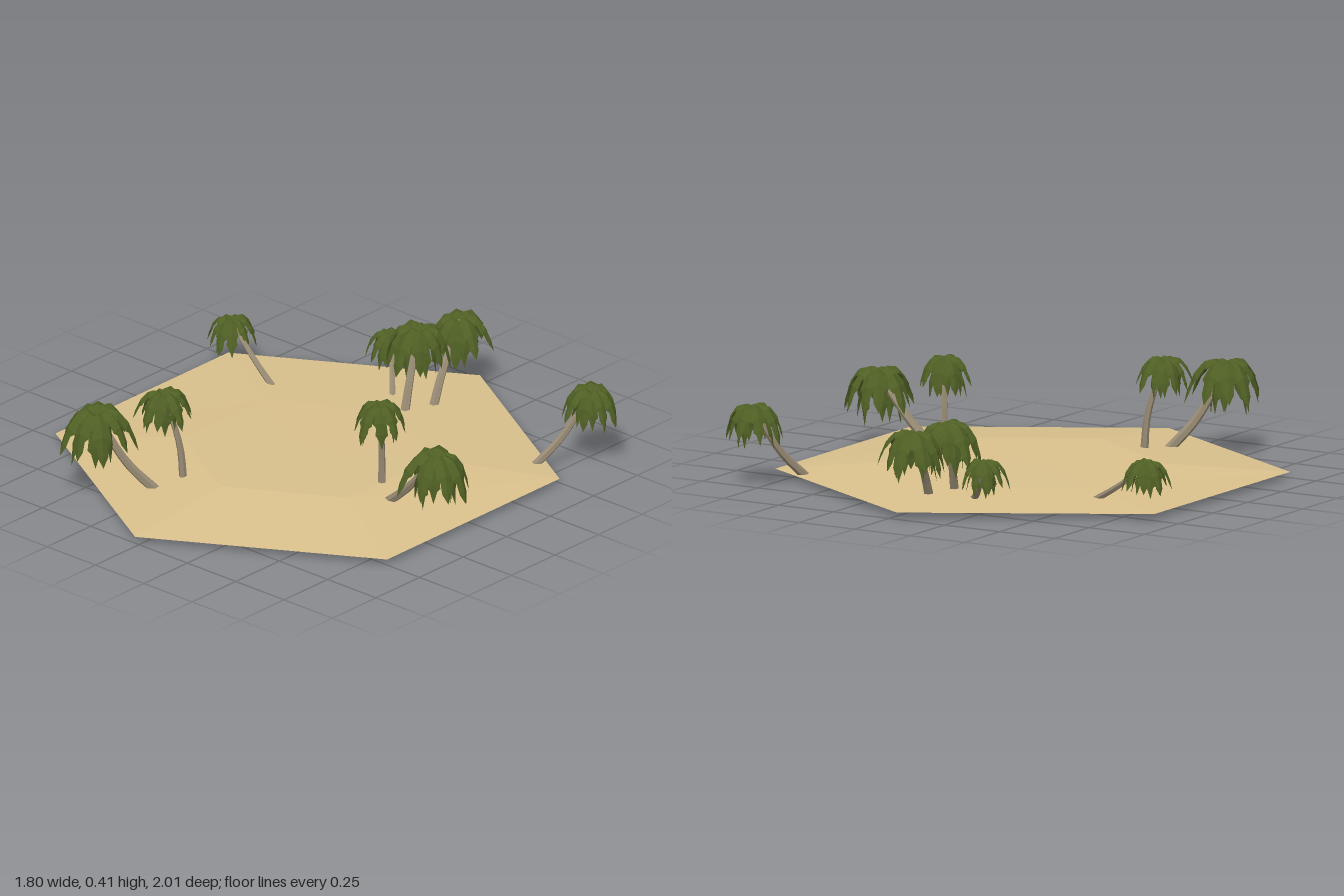
import * as THREE from 'three';

const sand = new THREE.MeshStandardMaterial({ color: 0xd9c08c, flatShading: true });
const bark = new THREE.MeshStandardMaterial({ color: 0x978a73, flatShading: true, side: THREE.DoubleSide });
const green = new THREE.MeshStandardMaterial({ color: 0x4f5f24, flatShading: true, side: THREE.DoubleSide });

function seeded(seed) {
  let s = seed * 7919 + 17;
  return () => (s = (s * 16807) % 2147483647) / 2147483647;
}

function geometryFrom(points, faces) {
  const g = new THREE.BufferGeometry();
  g.setAttribute('position', new THREE.Float32BufferAttribute(points.flat(), 3));
  g.setIndex(faces);
  const flat = g.toNonIndexed();
  flat.computeVertexNormals();
  return flat;
}

// Hexagonal sand slab: centre, half-radius ring, rim and flat underside
function makeSand() {
  const cx = -0.025, cz = 0.005, rim = 0.025;
  const heights = [0.068, 0.068, 0.06, 0.045, 0.045, 0.055]; // from front corner towards +x
  const points = [[cx, 0.06, cz]], faces = [];
  const ring = (r, y) => {
    for (let i = 0; i < 6; i++) {
      const a = i * Math.PI / 3;
      points.push([cx + r * Math.sin(a), y(i), cz + r * Math.cos(a)]);
    }
  };
  ring(0.495, i => heights[i]);
  ring(0.99, () => rim);
  points.push([cx, rim - 0.002, cz]);
  for (let i = 0; i < 6; i++) {
    const j = (i + 1) % 6;
    faces.push(0, 1 + i, 1 + j);
    faces.push(1 + i, 7 + i, 7 + j, 1 + i, 7 + j, 1 + j);
    faces.push(13, 7 + j, 7 + i);
  }
  const mesh = new THREE.Mesh(geometryFrom(points, faces), sand);
  mesh.name = 'sandIsland';
  return mesh;
}

// Tapered, curved trunk
function makeTrunk(path, r0, r1) {
  const curve = new THREE.CatmullRomCurve3(path);
  const rings = 8, sides = 6;
  const g = new THREE.TubeGeometry(curve, rings, 1, sides);
  const p = g.attributes.position, v = new THREE.Vector3();
  for (let i = 0; i <= rings; i++) {
    const c = curve.getPointAt(i / rings);
    const r = r0 + (r1 - r0) * i / rings;
    for (let k = 0; k <= sides; k++) {
      const n = i * (sides + 1) + k;
      v.fromBufferAttribute(p, n).sub(c).multiplyScalar(r).add(c);
      p.setXYZ(n, v.x, v.y, v.z);
    }
  }
  g.computeVertexNormals();
  const mesh = new THREE.Mesh(g, bark);
  mesh.name = 'trunk';
  return mesh;
}

// Drooping frond along +x, ridged along the middle with a notched edge.
// Stations: reach, height, half width
const upperFrond = [[0, 0, 0.05], [0.28, 0.17, 0.17], [0.55, 0.1, 0.27], [0.62, 0.02, 0.19],
  [0.8, -0.22, 0.25], [0.84, -0.36, 0.15], [0.94, -0.65, 0.14], [1.0, -1.0, 0]];
const lowerFrond = [[0, -0.05, 0.05], [0.25, 0, 0.15], [0.43, -0.22, 0.25], [0.46, -0.34, 0.17],
  [0.55, -0.7, 0.21], [0.56, -0.82, 0.12], [0.58, -1.3, 0]];

function makeFrond(stations, size) {
  const points = [], faces = [];
  stations.forEach(([x, y, w], i) => {
    points.push([x - w * 0.25, y - w * 0.5, -w], [x, y, 0], [x - w * 0.25, y - w * 0.5, w]);
    if (i === 0) return;
    for (let k = 0; k < 2; k++) {
      const a = (i - 1) * 3 + k, b = a + 3;
      faces.push(a, a + 1, b, b, a + 1, b + 1);
    }
  });
  return geometryFrom(points, faces).scale(size, size, size);
}

function makeCrown(radius, seed) {
  const crown = new THREE.Group();
  crown.name = 'crown';
  const rand = seeded(seed);
  const layers = [[upperFrond, 9, 0], [lowerFrond, 6, 0.3]];
  for (const [stations, count, turn] of layers) {
    for (let i = 0; i < count; i++) {
      const size = radius * (0.85 + 0.2 * rand());
      const frond = new THREE.Mesh(makeFrond(stations, size), green);
      frond.rotation.y = turn + seed + (i + 0.35 * rand()) * Math.PI * 2 / count;
      frond.rotation.z = (rand() - 0.5) * 0.25;
      frond.rotation.order = 'YXZ';
      frond.name = 'frond';
      crown.add(frond);
    }
  }
  return crown;
}

// Trunk foot, crown heart, crown radius, sideways progress and height of the bend
const palms = [
  { foot: [0.04, 0.015, -0.64], top: [-0.02, 0.30, -0.865], r: 0.14, bend: [0.35, 0.45] },
  { foot: [0.0, 0.01, -0.52], top: [-0.06, 0.31, -0.67], r: 0.14, bend: [0.4, 0.45] },
  { foot: [-0.13, 0.02, -0.6], top: [-0.27, 0.20, -0.75], r: 0.1, bend: [0.55, 0.35] },
  { foot: [-0.52, 0.015, -0.365], top: [-0.81, 0.20, -0.43], r: 0.1, bend: [0.5, 0.45] },
  { foot: [0.67, 0.02, -0.53], top: [0.79, 0.30, -0.72], r: 0.125, bend: [0.45, 0.35] },
  { foot: [0.4, 0.03, 0.05], top: [0.42, 0.395, 0.08], r: 0.115, bend: [0.1, 0.45] },
  { foot: [0.49, 0.03, 0.13], top: [0.75, 0.30, 0.13], r: 0.145, bend: [0.45, 0.38] },
  { foot: [-0.22, 0.015, 0.5], top: [-0.285, 0.385, 0.54], r: 0.115, bend: [0.2, 0.45] },
  { foot: [-0.25, 0.02, 0.62], top: [-0.42, 0.345, 0.78], r: 0.15, bend: [0.5, 0.38] },
];

export function createModel() {
  const model = new THREE.Group();
  model.name = 'palmIsland';
  model.add(makeSand());
  palms.forEach(({ foot, top, r, bend }, i) => {
    const a = new THREE.Vector3(...foot), b = new THREE.Vector3(...top);
    const mid = new THREE.Vector3().lerpVectors(a, b, bend[0]);
    mid.y = a.y + (b.y - a.y) * bend[1];
    const palm = new THREE.Group();
    palm.name = 'palmTree';
    palm.add(makeTrunk([a, mid, b], r * 0.14, r * 0.085));
    const crown = makeCrown(r, i + 1);
    crown.position.copy(b);
    palm.add(crown);
    model.add(palm);
  });
  return model;
}
